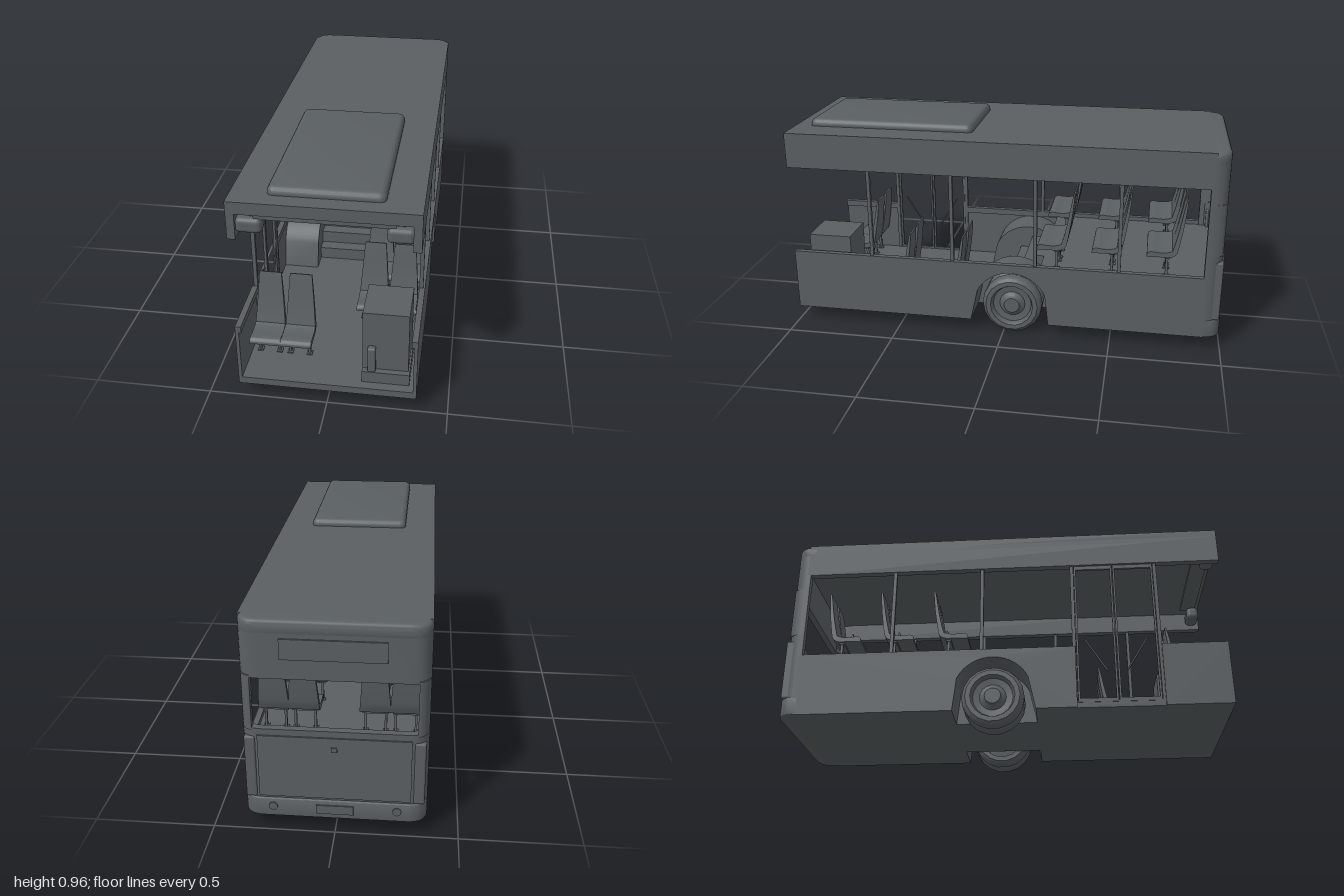
import * as THREE from 'three';
import { RoundedBoxGeometry } from 'three/addons/geometries/RoundedBoxGeometry.js';
import { toCreasedNormals } from 'three/addons/utils/BufferGeometryUtils.js';

const grey = new THREE.MeshStandardMaterial({ name: 'slate grey', color: 0x5a5f62, side: THREE.DoubleSide });
const AXLE_Z = -0.04, AXLE_Y = 0.14;

export function createModel() {
  const bus = new THREE.Group();
  bus.name = 'bus';

  const add = (name, geo, parent = bus) => {
    const m = new THREE.Mesh(geo, grey);
    m.name = name;
    parent.add(m);
    return m;
  };
  // box given by its limits
  const box = (name, x0, x1, y0, y1, z0, z1, parent) => {
    const g = new THREE.BoxGeometry(x1 - x0, y1 - y0, z1 - z0);
    g.translate((x0 + x1) / 2, (y0 + y1) / 2, (z0 + z1) / 2);
    return add(name, g, parent);
  };
  // shape drawn in (z, y), extruded from x0 to x1
  const sideExtrude = (shape, x0, x1) => {
    const g = new THREE.ExtrudeGeometry(shape, { depth: x1 - x0, bevelEnabled: false, curveSegments: 20 });
    g.rotateY(-Math.PI / 2);
    g.translate(x1, 0, 0);
    return toCreasedNormals(g, 0.6);
  };
  // shape drawn in (x, -z), extruded from y0 to y1
  const planExtrude = (shape, y0, y1, bevel = 0) => {
    const g = new THREE.ExtrudeGeometry(shape, {
      depth: y1 - y0 - 2 * bevel, bevelEnabled: bevel > 0, bevelSize: bevel, bevelThickness: bevel,
      bevelOffset: -bevel, bevelSegments: 4, curveSegments: 8,
    });
    g.rotateX(-Math.PI / 2);
    g.translate(0, y0 + bevel, 0);
    return toCreasedNormals(g, 0.6);
  };
  const poly = pts => new THREE.Shape(pts.map(p => new THREE.Vector2(...p)));

  // lower side panels, with the wheel arch cut out
  const archPoints = r => {
    const pts = [];
    for (let i = 0; i <= 20; i++) {
      const a = 0.45 + (Math.PI - 0.9) * i / 20;
      pts.push([AXLE_Z - r * Math.cos(a), AXLE_Y + r * Math.sin(a)]);
    }
    return pts;
  };
  const rearPanel = z1 => poly([[-0.92, 0.065], [-0.215, 0.065], ...archPoints(0.175), [0.15, 0.065],
    [z1, 0.065], [z1, 0.355], [-0.92, 0.355]]);
  add('leftSidePanel', sideExtrude(rearPanel(1), 0.355, 0.37));
  add('rightSidePanel', sideExtrude(rearPanel(0.33), -0.37, -0.355));
  box('rightFrontPanel', -0.37, -0.355, 0.065, 0.355, 0.71, 1);
  box('leftWindowSill', 0.345, 0.36, 0.325, 0.355, -0.92, 1);
  box('rightWindowSill', -0.36, -0.345, 0.325, 0.355, -0.92, 0.33);
  box('rightFrontSill', -0.36, -0.345, 0.325, 0.355, 0.71, 1);

  // floor, steps and raised rear floor
  box('frontFloor', -0.36, 0.36, 0.065, 0.097, 0.15, 1);
  box('middleFloor', -0.19, 0.19, 0.065, 0.097, -0.215, 0.15);
  box('rearUnderfloor', -0.36, 0.36, 0.065, 0.097, -0.95, -0.215);
  box('frontSill', -0.36, 0.36, 0.075, 0.09, 0.99, 1);
  for (let i = 0; i < 4; i++) {
    box('step', -0.19, 0.19, 0.097, 0.155 + i * 0.06, -0.2, 0.06 - i * 0.06);
  }
  box('rearFloor', -0.355, 0.355, 0.3, 0.335, -0.96, -0.17);
  box('rearFloorRiser', -0.355, 0.355, 0.097, 0.32, -0.225, -0.215);

  // wheel housings
  for (const s of [-1, 1]) {
    const outer = archPoints(0.185), inner = archPoints(0.175).reverse();
    const a = s > 0 ? 0.19 : -0.358, b = s > 0 ? 0.358 : -0.19;
    add('wheelHousing', sideExtrude(poly([[-0.225, 0.065], ...outer, [0.16, 0.065], [0.15, 0.065],
      ...inner, [-0.215, 0.065]]), a, b));
    const w = s > 0 ? 0.19 : -0.195;
    add('wheelHousingWall', sideExtrude(poly([[-0.22, 0.065], ...outer, [0.155, 0.065]]), w, w + 0.005));
  }

  // roof and side bands
  box('roof', -0.37, 0.37, 0.88, 0.932, -0.92, 1);
  for (const s of [-1, 1]) {
    const x0 = s > 0 ? 0.337 : -0.37;
    box('roofSideBand', x0, x0 + 0.033, 0.77, 0.9, -0.92, 1);
  }
  box('ceilingPanel', -0.335, 0.335, 0.862, 0.88, -0.95, 0.97);
  box('frontDisplay', -0.27, 0.27, 0.85, 0.868, 0.9, 0.975);
  const unit = new THREE.Shape();
  const hw = 0.228, r = 0.03;
  unit.moveTo(-hw + r, -0.93).lineTo(hw - r, -0.93).quadraticCurveTo(hw, -0.93, hw, -0.93 + r)
    .lineTo(hw, -0.16 - r).quadraticCurveTo(hw, -0.16, hw - r, -0.16)
    .lineTo(-hw + r, -0.16).quadraticCurveTo(-hw, -0.16, -hw, -0.16 - r)
    .lineTo(-hw, -0.93 + r).quadraticCurveTo(-hw, -0.93, -hw + r, -0.93);
  add('roofUnit', planExtrude(unit, 0.91, 0.966, 0.025));

  // rear end: rounded plan, solid cap and hollow walls
  const rearOutline = (x, z, start, c) => new THREE.Shape().moveTo(-x, start).lineTo(-x, z - c)
    .quadraticCurveTo(-x + 0.01, z, -x + c + 0.02, z).lineTo(x - c - 0.02, z)
    .quadraticCurveTo(x - 0.01, z, x, z - c).lineTo(x, start);
  const rearWall = () => {
    const s = rearOutline(0.37, 0.985, 0.905, 0.06);
    s.lineTo(0.337, 0.905).lineTo(0.337, 0.93).lineTo(0.31, 0.955);
    s.lineTo(-0.31, 0.955).lineTo(-0.337, 0.93).lineTo(-0.337, 0.905);
    return s;
  };
  add('rearRoofCap', planExtrude(rearOutline(0.37, 0.985, 0.89, 0.06), 0.86, 0.932, 0.02));
  add('rearUpperWall', planExtrude(rearWall(), 0.69, 0.905));
  add('rearLowerWall', planExtrude(rearWall(), 0.07, 0.468));
  for (const s of [-1, 1]) {
    const p = new THREE.Shape().moveTo(s * 0.37, 0.905).lineTo(s * 0.37, 0.925)
      .quadraticCurveTo(s * 0.36, 0.983, s * 0.325, 0.983).lineTo(s * 0.325, 0.95).lineTo(s * 0.34, 0.905);
    add('rearPillar', planExtrude(p, 0.46, 0.7));
    add('rearLampStrip', new RoundedBoxGeometry(0.045, 0.28, 0.05, 2, 0.008)).position.set(s * 0.337, 0.29, -0.962);
    const lamp = new THREE.CylinderGeometry(0.018, 0.018, 0.012, 16);
    lamp.rotateX(Math.PI / 2);
    add('rearLamp', lamp).position.set(s * 0.25, 0.115, -0.994);
  }
  add('rearBumper', planExtrude(rearOutline(0.37, 0.995, 0.91, 0.06), 0.066, 0.15, 0.006));
  box('engineHatch', -0.305, 0.305, 0.16, 0.44, -0.991, -0.98);
  box('hatchHandle', -0.012, 0.012, 0.38, 0.4, -0.996, -0.99);
  box('numberPlate', -0.075, 0.075, 0.09, 0.13, -1, -0.99);
  box('rearDisplay', -0.205, 0.205, 0.775, 0.86, -0.992, -0.98);

  // window posts
  for (const z of [0.62, 0.235, -0.15, -0.53]) box('leftPost', 0.345, 0.362, 0.35, 0.78, z - 0.008, z + 0.008);
  for (const z of [0.705, 0.325, -0.09, -0.5]) box('rightPost', -0.362, -0.345, z > 0.2 ? 0.09 : 0.35, 0.78, z - 0.008, z + 0.008);

  // two-leaf door frame
  const door = new THREE.Group();
  door.name = 'door';
  bus.add(door);
  for (const [z0, z1, tilt] of [[0.513, 0.695, -1], [0.335, 0.509, 1]]) {
    for (const z of [z0, z1 - 0.009]) box('doorStile', -0.362, -0.35, 0.09, 0.77, z, z + 0.009, door);
    for (const y of [0.09, 0.75]) box('doorRail', -0.362, -0.35, y, y + 0.018, z0, z1, door);
    const h = add('doorHandle', new THREE.CylinderGeometry(0.004, 0.004, 0.18, 8), door);
    h.position.set(-0.335, 0.325, (z0 + z1) / 2);
    h.rotation.x = -tilt * 0.55;
  }

  // seats: curved shell narrowing towards the top, on two legs
  const prof = new THREE.Shape().moveTo(0.09, -0.022).quadraticCurveTo(0.095, 0, 0.07, 0.004)
    .quadraticCurveTo(0.01, -0.006, -0.022, 0.01).quadraticCurveTo(-0.045, 0.09, -0.062, 0.2)
    .lineTo(-0.07, 0.24).lineTo(-0.077, 0.238).quadraticCurveTo(-0.07, 0.13, -0.046, 0.01)
    .quadraticCurveTo(-0.04, -0.02, 0, -0.022).quadraticCurveTo(0.05, -0.02, 0.09, -0.022);
  const shell = new THREE.ExtrudeGeometry(prof, { depth: 0.13, bevelEnabled: false, curveSegments: 8 });
  shell.rotateY(-Math.PI / 2);
  shell.translate(0.065, 0, 0);
  const pos = shell.attributes.position;
  for (let i = 0; i < pos.count; i++) pos.setX(i, pos.getX(i) * (1 - 1.15 * Math.max(0, pos.getY(i))));
  const seatShell = toCreasedNormals(shell, 0.6);
  const seat = (x, y, z) => {
    const g = new THREE.Group();
    g.name = 'seat';
    g.position.set(x, y, z);
    bus.add(g);
    add('seatShell', seatShell, g);
    box('seatBar', -0.055, 0.055, -0.03, -0.018, -0.012, 0.012, g);
    for (const s of [-1, 1]) {
      box('seatLeg', s * 0.042 - 0.005, s * 0.042 + 0.005, -0.118, -0.02, -0.006, 0.006, g);
      box('seatFoot', s * 0.042 - 0.012, s * 0.042 + 0.012, -0.12, -0.113, -0.014, 0.014, g);
    }
  };
  for (const z of [-0.245, -0.495, -0.74]) for (const x of [-0.272, -0.147, 0.147, 0.272]) seat(x, 0.452, z);
  for (const z of [0.52, 0.27]) for (const x of [0.135, 0.268]) seat(x, 0.215, z);
  for (const x of [-0.278, -0.147]) seat(x, 0.215, 0.81);

  // driver's console
  box('consoleBase', 0.14, 0.337, 0.097, 0.15, 0.72, 0.96);
  box('console', 0.14, 0.33, 0.15, 0.428, 0.735, 0.935);
  const tank = add('extinguisher', new RoundedBoxGeometry(0.034, 0.12, 0.03, 2, 0.008));
  tank.position.set(0.18, 0.212, 0.95);

  // front lamps under the roof
  for (const s of [-1, 1]) {
    add('frontLamp', new RoundedBoxGeometry(0.106, 0.064, 0.06, 4, 0.02)).position.set(s * 0.29, 0.823, 0.96);
    box('lampBracket', s * 0.29 - 0.015, s * 0.29 + 0.015, 0.84, 0.88, 0.94, 0.96);
  }

  // twin wheels
  const lathe = pts => {
    const g = new THREE.LatheGeometry(pts.map(p => new THREE.Vector2(...p)), 18);
    g.rotateZ(-Math.PI / 2);
    return toCreasedNormals(g, 0.5);
  };
  const tyre = lathe([[0.1, -0.036], [0.122, -0.036], [0.135, -0.026], [0.14, -0.015],
    [0.14, 0.015], [0.135, 0.026], [0.122, 0.036], [0.1, 0.036]]);
  const rim = lathe([[0.103, 0.036], [0.097, 0.03], [0.09, 0.012], [0.06, 0.008], [0.042, 0.02], [0.036, 0.032], [0, 0.032]]);
  for (const s of [-1, 1]) {
    for (const x of [0.314, 0.238]) {
      const w = new THREE.Group();
      w.name = 'wheel';
      w.position.set(s * x, AXLE_Y, AXLE_Z);
      w.rotation.y = s > 0 ? 0 : Math.PI;
      bus.add(w);
      add('tyre', tyre, w);
      add('rim', rim, w);
    }
  }
  const axle = new THREE.CylinderGeometry(0.03, 0.03, 0.6, 12);
  axle.rotateZ(Math.PI / 2);
  add('axle', axle).position.set(0, AXLE_Y, AXLE_Z);

  return bus;
}
